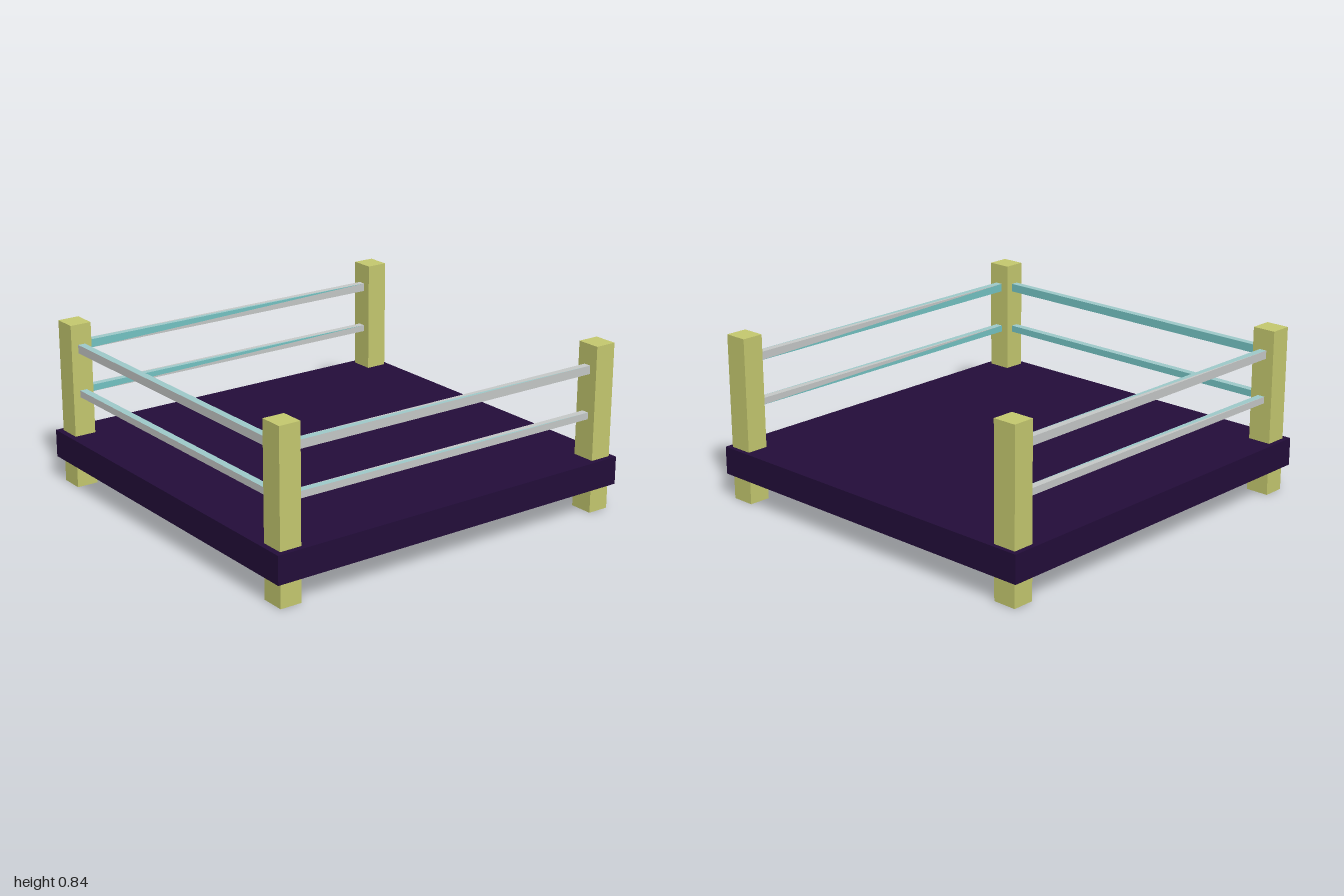
import * as THREE from 'three';

const material = (name, color) => new THREE.MeshStandardMaterial({ name, color });

export function createModel() {
  const purple = material('deck purple', 0x230d3a);
  const olive = material('post olive', 0xc5c96f);
  const grey = material('rail grey', 0xc6c9c8);
  const teal = material('rail teal', 0x74c4c4);
  const paleTeal = material('rail pale teal', 0x9ecaca);
  const railMaterials = [grey, teal, paleTeal];

  const model = new THREE.Group();
  model.name = 'fencedPlatform';
  const body = new THREE.Group();
  body.name = 'body';
  body.rotation.y = -0.0085; // the whole platform sits very slightly askew
  model.add(body);

  const add = (name, geometry, mat, x, y, z) => {
    const mesh = new THREE.Mesh(geometry, mat);
    mesh.name = name;
    mesh.position.set(x, y, z);
    body.add(mesh);
  };

  // Deck slab
  add('deck', new THREE.BoxGeometry(1.93, 0.14, 1.983), purple, -0.002, 0.198, 0);

  // Corner posts, passing through the deck
  const px = 0.8785, pz = 0.91, cx = -0.0025, cz = -0.0035;
  const postGeometry = new THREE.BoxGeometry(0.121, 0.84, 0.111);
  for (const sx of [-1, 1]) for (const sz of [-1, 1]) {
    add(`${sz > 0 ? 'front' : 'back'}${sx > 0 ? 'Left' : 'Right'}Post`,
      postGeometry, olive, cx + sx * px, 0.42, cz + sz * pz);
  }

  // A rail bar; paint lists a material index for each of its 12 triangles
  const rail = (w, h, d, paint) => {
    const geometry = new THREE.BoxGeometry(w, h, d);
    geometry.clearGroups();
    paint.forEach((m, i) => geometry.addGroup(i * 3, 3, m));
    return geometry;
  };

  // Triangle order: +x, -x, top, bottom, +z, -z, two each
  const frontPaint = [0, 0, 0, 0, 2, 2, 0, 0, 0, 0, 1, 1];
  const leftPaint = [0, 0, 0, 1, 0, 2, 0, 0, 0, 0, 0, 0];
  const rightPaint = [1, 0, 0, 0, 0, 2, 0, 0, 0, 0, 0, 0];

  // Two rails on the front and on both sides; the back is open
  for (const [level, y, h] of [['upper', 0.716, 0.042], ['lower', 0.485, 0.034]]) {
    add(`${level}FrontRail`, rail(px * 2 - 0.1, h, 0.038, frontPaint), railMaterials, cx, y, cz + pz);
    add(`${level}LeftRail`, rail(0.038, h, pz * 2 - 0.1, leftPaint), railMaterials, cx + px, y, cz);
    add(`${level}RightRail`, rail(0.038, h, pz * 2 - 0.1, rightPaint), railMaterials, cx - px, y, cz);
  }

  return model;
}
